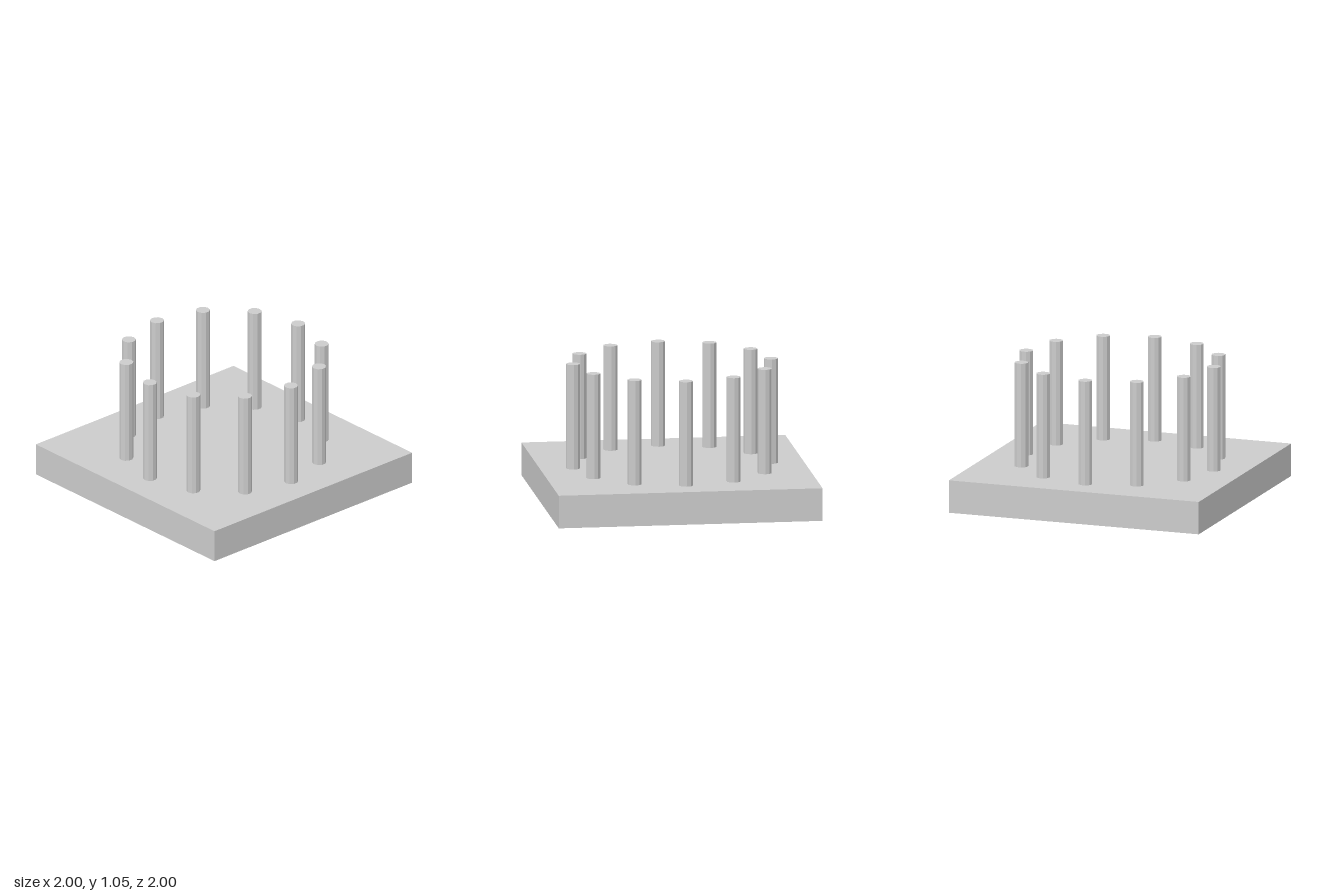
import * as THREE from 'three';

export function createModel() {
  const group = new THREE.Group();
  const material = new THREE.MeshStandardMaterial({ color: 0xcccccc, flatShading: true });

  // Square base slab
  const baseHeight = 0.25;
  const base = new THREE.Mesh(new THREE.BoxGeometry(2, baseHeight, 2), material);
  base.name = 'base';
  base.position.y = baseHeight / 2;
  group.add(base);

  // Ring of twelve ten-sided pillars
  const pillarCount = 12, ringRadius = 0.75, pillarHeight = 0.8;
  const pillarGeometry = new THREE.CylinderGeometry(0.053, 0.053, pillarHeight, 10);
  const pillars = new THREE.Group();
  pillars.name = 'pillars';
  for (let i = 0; i < pillarCount; i++) {
    const angle = (i / pillarCount) * Math.PI * 2;
    const pillar = new THREE.Mesh(pillarGeometry, material);
    pillar.name = `pillar${i + 1}`;
    pillar.position.set(
      Math.cos(angle) * ringRadius,
      baseHeight + pillarHeight / 2,
      Math.sin(angle) * ringRadius
    );
    pillars.add(pillar);
  }
  group.add(pillars);

  return group;
}
